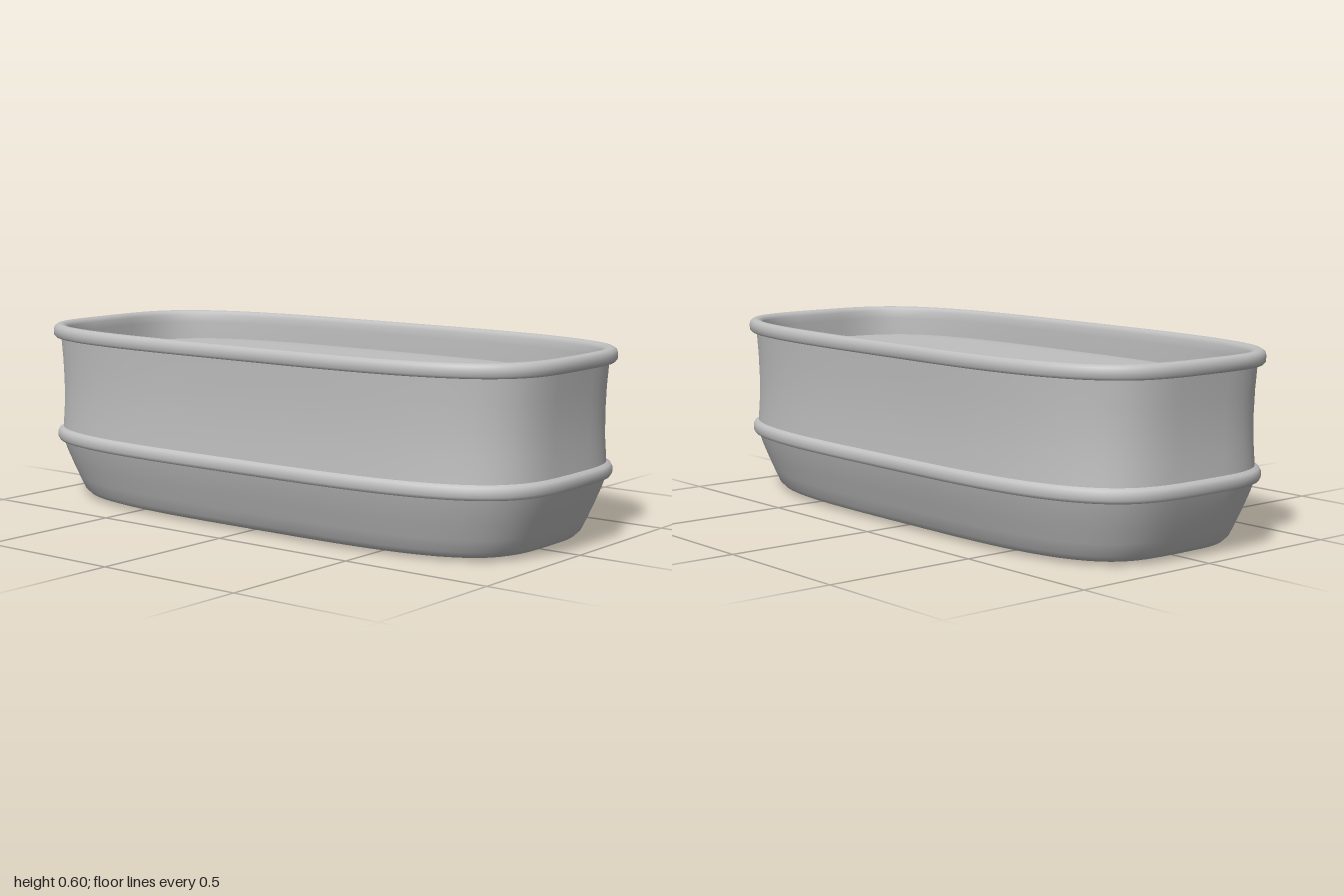
import * as THREE from 'three';

const SEGMENTS = 96;
const EXPONENT = 2 / 3.6; // squareness of the rounded oblong outline

// Point on the rounded oblong with the given half length and half width
function outline(t, hx, hz) {
  const c = Math.cos(t), s = Math.sin(t);
  return [
    hx * Math.sign(c) * Math.abs(c) ** EXPONENT,
    hz * Math.sign(s) * Math.abs(s) ** EXPONENT,
  ];
}

// Skin a stack of oblong rings, each [half length, half width, height]
function skin(rings) {
  const positions = [], index = [];
  for (const [hx, hz, y] of rings) {
    for (let i = 0; i < SEGMENTS; i++) {
      const [x, z] = outline((i / SEGMENTS) * Math.PI * 2, hx, hz);
      positions.push(x, y, z);
    }
  }
  for (let j = 0; j < rings.length - 1; j++) {
    for (let i = 0; i < SEGMENTS; i++) {
      const k = (i + 1) % SEGMENTS;
      const a = j * SEGMENTS + i, b = a + SEGMENTS;
      const c = j * SEGMENTS + k, d = c + SEGMENTS;
      index.push(a, b, c, c, b, d);
    }
  }
  const geometry = new THREE.BufferGeometry();
  geometry.setAttribute('position', new THREE.Float32BufferAttribute(positions, 3));
  geometry.setIndex(index);
  geometry.computeVertexNormals();
  return geometry;
}

export function createModel() {
  const group = new THREE.Group();
  group.name = 'oblongTub';
  const grey = new THREE.MeshStandardMaterial({ color: 0xc0c0c0, side: THREE.DoubleSide });
  grey.name = 'plain grey';

  const parts = {
    // Flat underside with a rounded edge, flaring up to the band
    base: [
      [0, 0, 0], [0.8, 0.31, 0], [0.86, 0.345, 0.004], [0.89, 0.37, 0.013],
      [0.907, 0.385, 0.03], [0.925, 0.4, 0.07], [0.945, 0.419, 0.12],
      [0.962, 0.435, 0.165], [0.973, 0.445, 0.2],
    ],
    // Raised band around the belly
    band: [
      [0.973, 0.445, 0.2], [0.986, 0.456, 0.202], [0.991, 0.461, 0.212],
      [0.991, 0.461, 0.228], [0.986, 0.456, 0.239], [0.973, 0.446, 0.246],
    ],
    // Slightly waisted side wall
    wall: [
      [0.973, 0.446, 0.246], [0.968, 0.442, 0.32], [0.967, 0.441, 0.4],
      [0.97, 0.443, 0.48], [0.976, 0.447, 0.557],
    ],
    // Rolled lip, with the inner wall dropping to the filling
    rim: [
      [0.976, 0.447, 0.557], [0.993, 0.46, 0.557], [0.999, 0.466, 0.565],
      [1, 0.467, 0.58], [0.997, 0.464, 0.593], [0.988, 0.456, 0.6],
      [0.974, 0.445, 0.602], [0.962, 0.434, 0.597], [0.956, 0.428, 0.585],
      [0.954, 0.426, 0.56], [0.954, 0.426, 0.49],
    ],
    // Broad, gently domed surface inside the rim
    filling: [
      [0.954, 0.426, 0.49], [0.91, 0.4, 0.503], [0.82, 0.35, 0.513],
      [0.65, 0.27, 0.518], [0, 0, 0.52],
    ],
  };

  for (const [name, rings] of Object.entries(parts)) {
    const mesh = new THREE.Mesh(skin(rings), grey);
    mesh.name = name;
    group.add(mesh);
  }
  return group;
}
